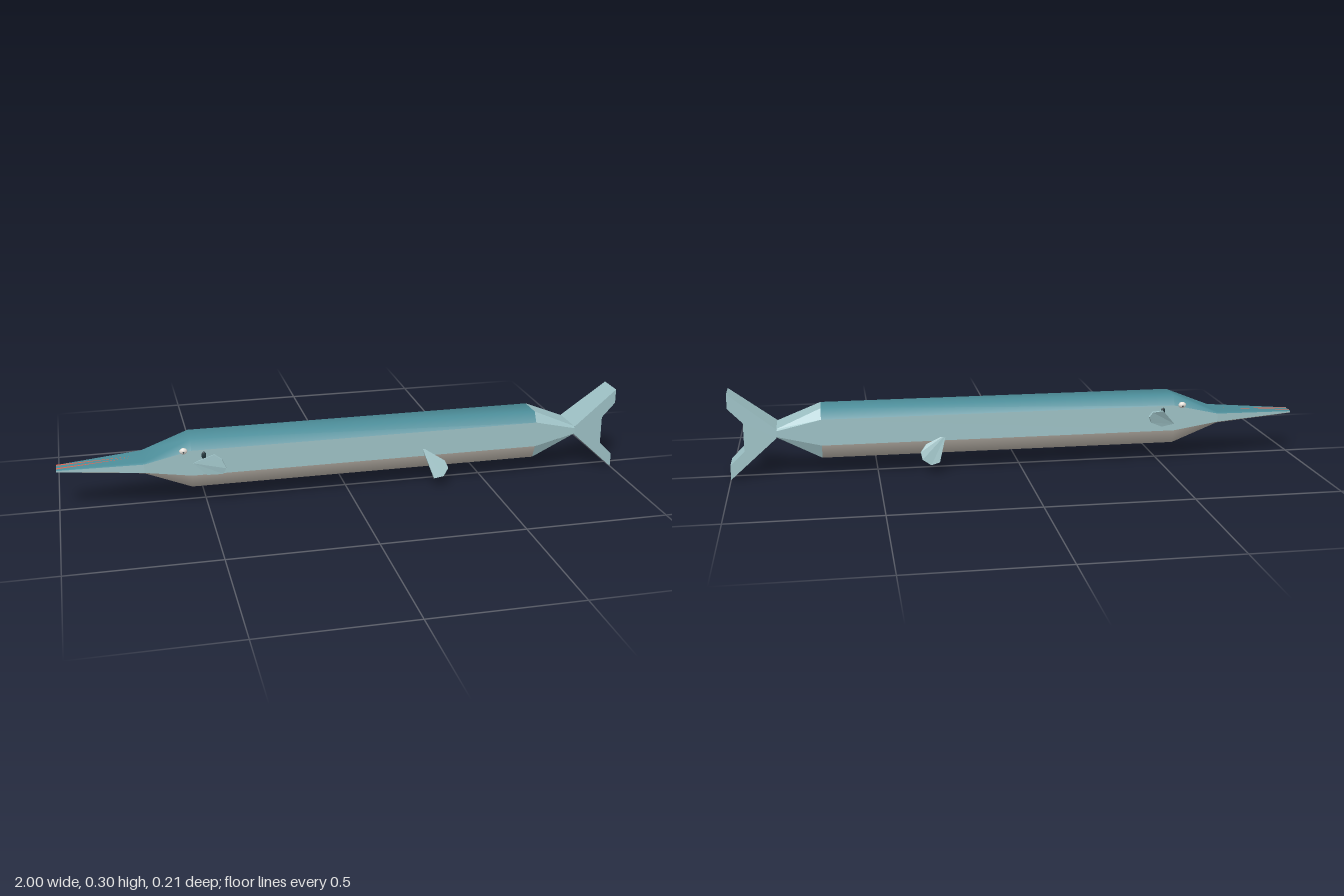
import * as THREE from 'three';
import { mergeVertices } from 'three/addons/utils/BufferGeometryUtils.js';

const paint = (name, color, options = {}) =>
  Object.assign(new THREE.MeshStandardMaterial({ color, ...options }), { name });

// Non-indexed geometry from a list of corner points, three per face
function faces(points) {
  const g = new THREE.BufferGeometry();
  g.setAttribute('position', new THREE.Float32BufferAttribute(points.flat(), 3));
  g.computeVertexNormals();
  return g;
}

// Shared corners give a soft, rounded look
function smooth(geometry) {
  geometry.deleteAttribute('normal');
  const g = mergeVertices(geometry);
  g.computeVertexNormals();
  return g;
}

// Eight-sided body ring at x
function ring([x, yTop, zTop, yUp, zSide, yLow, zBot, yBot]) {
  const half = [[yTop, zTop], [yUp, zSide], [yLow, zSide], [yBot, zBot]];
  return [
    ...half.map(([y, z]) => [x, y, z]),
    ...half.reverse().map(([y, z]) => [x, y, -z]),
  ];
}

// Flat fan with a little thickness, first point is the root
function finGeometry(outline, thickness = 0.006) {
  const v = outline.map((p) => new THREE.Vector3(...p));
  const n = new THREE.Vector3()
    .crossVectors(v[1].clone().sub(v[0]), v[v.length - 1].clone().sub(v[0]))
    .setLength(thickness / 2);
  const a = v.map((p) => p.clone().add(n).toArray());
  const b = v.map((p) => p.clone().sub(n).toArray());
  const pts = [];
  for (let i = 1; i < v.length - 1; i++) {
    pts.push(a[0], a[i], a[i + 1], b[0], b[i + 1], b[i]);
  }
  for (let i = 0; i < v.length; i++) {
    const j = (i + 1) % v.length;
    pts.push(a[i], b[i], b[j], a[i], b[j], a[j]);
  }
  return faces(pts);
}

export function createModel() {
  const model = new THREE.Group();
  model.name = 'longFish';
  const teal = paint('back teal', 0x4c8d99);
  const pale = paint('pale blue grey', 0x9ec2c6, { flatShading: true });
  const bellyMat = paint('belly grey', 0xc4bdb3);
  const red = paint('beak red', 0xe8604a);
  const white = paint('eye white', 0xf2ece4);
  const dark = paint('dark mark', 0x20343a);

  const add = (name, geometry, material, parent = model) => {
    const mesh = new THREE.Mesh(geometry, material);
    mesh.name = name;
    parent.add(mesh);
    return mesh;
  };

  // Body: beak tip, beak base, shoulder, hip, tail root
  const rings = [
    [-1, 0.159, 0.024, 0.157, 0.027, 0.153, 0.024, 0.151],
    [-0.71, 0.175, 0.058, 0.17, 0.067, 0.14, 0.058, 0.135],
    [-0.55, 0.241, 0.046, 0.206, 0.067, 0.115, 0.046, 0.066],
    [0.69, 0.241, 0.046, 0.206, 0.067, 0.115, 0.046, 0.066],
    [0.84, 0.178, 0.06, 0.172, 0.067, 0.152, 0.06, 0.148],
  ].map(ring);
  const strips = (segments, sides) => {
    const pts = [];
    for (const s of segments) {
      for (const i of sides) {
        const j = (i + 1) % 8;
        const [a, b] = [rings[s], rings[s + 1]];
        pts.push(a[i], a[j], b[j], a[i], b[j], b[i]);
      }
    }
    return faces(pts);
  };
  add('back', smooth(strips([0, 1, 2], [0, 6, 7])), teal);
  add('flanks', strips([0, 1, 2], [1, 5]), pale);
  add('belly', smooth(strips([0, 1, 2], [2, 3, 4])), bellyMat);
  add('tailRoot', strips([3], [0, 1, 2, 3, 4, 5, 6, 7]), pale);
  const cap = [];
  for (let i = 1; i < 7; i++) cap.push(rings[0][0], rings[0][i + 1], rings[0][i]);
  add('beakTip', faces(cap), pale);

  // Forked tail, narrowing in width towards its end
  const fork = new THREE.Shape([
    [0.84, 0.148], [1, 0.002], [1, 0.052], [0.95, 0.101],
    [0.95, 0.201], [1, 0.251], [1, 0.302], [0.84, 0.178],
  ].map(([x, y]) => new THREE.Vector2(x, y)));
  const tail = new THREE.ExtrudeGeometry(fork, { depth: 2, bevelEnabled: false });
  const p = tail.attributes.position;
  for (let i = 0; i < p.count; i++) {
    const width = THREE.MathUtils.mapLinear(p.getX(i), 0.84, 1, 0.066, 0.048);
    p.setZ(i, (p.getZ(i) - 1) * width);
  }
  tail.computeVertexNormals();
  add('tailFin', tail, pale);

  // Red stripes along the beak, above and below, all facing outwards
  for (const [name, up, y0, y1] of [['upper', 1, 0.161, 0.1748], ['lower', -1, 0.149, 0.1355]]) {
    for (const s of [-1, 1]) {
      const inner = [-1, y0, s * 0.011];
      const outer = [-1, y0, s * 0.021];
      const point = [-0.75, y1, s * 0.006];
      const corners = s * up > 0 ? [inner, outer, point] : [outer, inner, point];
      add(`${name}BeakStripe`, faces(corners), red);
    }
  }

  // Eyes, with a dark gill mark behind each
  for (const s of [-1, 1]) {
    const side = new THREE.Group();
    side.name = s > 0 ? 'frontFace' : 'backFace';
    const eye = add('eyeball', new THREE.SphereGeometry(1, 10, 8), white, side);
    eye.position.set(-0.577, 0.208, s * 0.07);
    eye.scale.set(0.014, 0.011, 0.009);
    const pupil = add('pupil', new THREE.SphereGeometry(0.003, 6, 4), dark, side);
    pupil.position.set(-0.577, 0.206, s * 0.079);
    const gill = add('gillMark', new THREE.SphereGeometry(1, 8, 6), dark, side);
    gill.position.set(-0.508, 0.186, s * 0.067);
    gill.scale.set(0.008, 0.014, 0.004);
    model.add(side);
  }

  // Paired fins, each side set at its own angle
  const fins = {
    frontPectoralFin: [
      [-0.545, 0.16, 0.064], [-0.5, 0.118, 0.076], [-0.447, 0.125, 0.096],
      [-0.437, 0.148, 0.104], [-0.45, 0.178, 0.098], [-0.475, 0.194, 0.088],
    ],
    backPectoralFin: [
      [-0.55, 0.14, -0.064], [-0.5, 0.135, -0.078], [-0.458, 0.155, -0.094],
      [-0.448, 0.178, -0.102], [-0.46, 0.194, -0.102], [-0.5, 0.196, -0.096],
    ],
    frontPelvicFin: [
      [0.265, 0.145, 0.062], [0.3, 0.04, 0.103], [0.335, 0.045, 0.102],
      [0.355, 0.07, 0.091], [0.345, 0.095, 0.08],
    ],
    backPelvicFin: [
      [0.265, 0.135, -0.061], [0.29, 0.042, -0.086], [0.32, 0.034, -0.09],
      [0.35, 0.055, -0.09], [0.355, 0.08, -0.082], [0.335, 0.105, -0.071],
    ],
  };
  for (const [name, outline] of Object.entries(fins)) add(name, finGeometry(outline), pale);

  return model;
}
